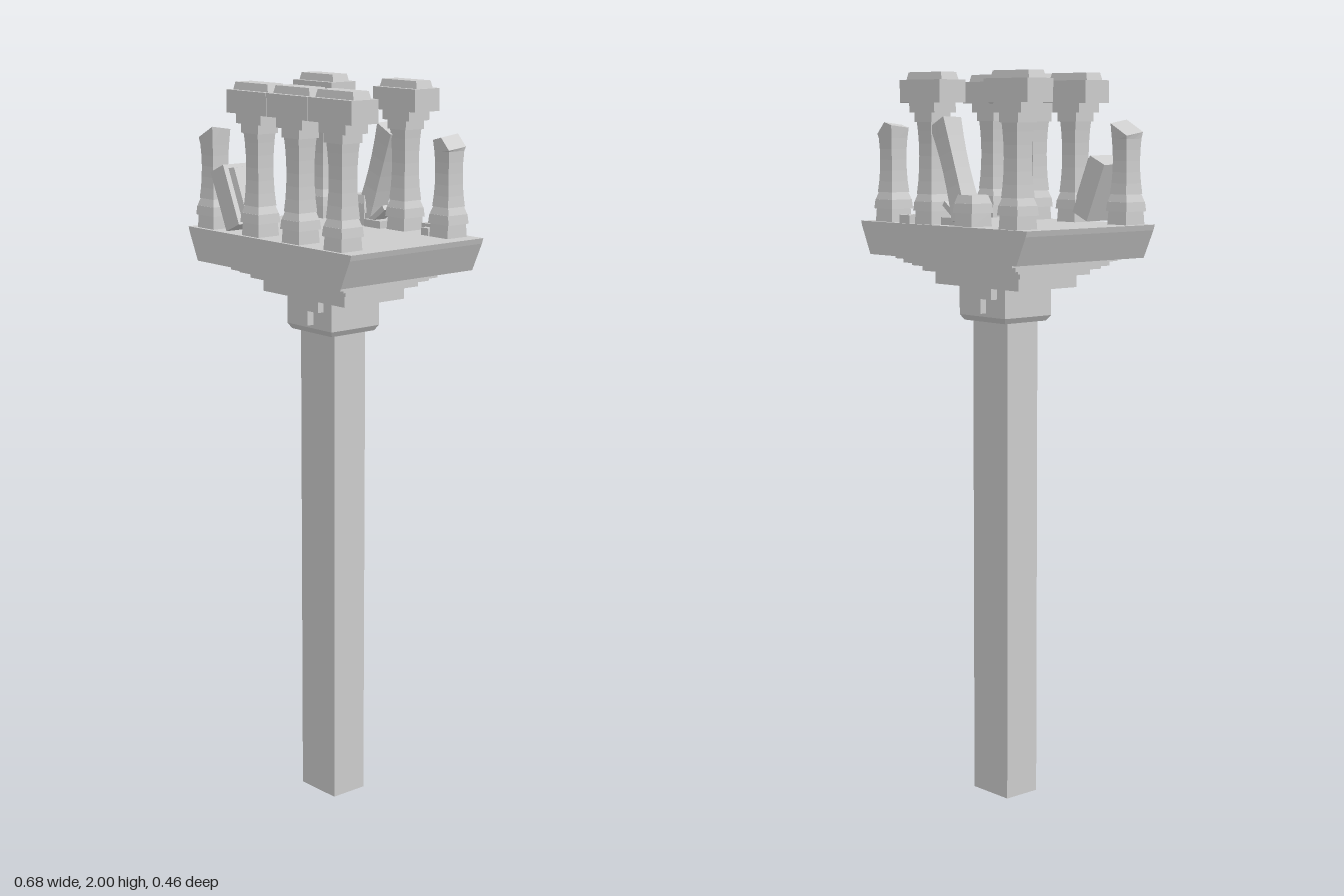
import * as THREE from 'three';

const stone = new THREE.MeshStandardMaterial({ color: 0xcccccc, flatShading: true });

function add(parent, name, geometry, x = 0, y = 0, z = 0) {
  const mesh = new THREE.Mesh(geometry, stone);
  mesh.name = name;
  mesh.position.set(x, y, z);
  parent.add(mesh);
  return mesh;
}

// Box standing on y = 0, with separate half sizes at the bottom and the top
function taper(bx, bz, tx, tz, h) {
  const g = new THREE.BoxGeometry(2, h, 2).translate(0, h / 2, 0);
  const p = g.attributes.position;
  for (let i = 0; i < p.count; i++) {
    const top = p.getY(i) > h / 2;
    p.setX(i, p.getX(i) * (top ? tx : bx));
    p.setZ(i, p.getZ(i) * (top ? tz : bz));
  }
  g.computeVertexNormals();
  return g;
}
const block = (hx, hz, h) => taper(hx, hz, hx, hz, h);

// Square shaft, slightly waisted; a broken one ends in a slanted, notched top
function shaft(h, slope = 0, notch = 0) {
  const g = new THREE.BoxGeometry(2, h, 2, 2, 6, 2).translate(0, h / 2, 0);
  const p = g.attributes.position;
  for (let i = 0; i < p.count; i++) {
    const t = p.getY(i) / h, u = p.getX(i), w = p.getZ(i);
    const half = 0.0255 + 0.005 * (2 * t - 1) ** 2;
    if (t > 0.99) p.setY(i, h + slope * u + notch * (Math.abs(u) - 0.5) + 0.3 * slope * w);
    p.setX(i, u * half);
    p.setZ(i, w * half);
  }
  g.computeVertexNormals();
  return g;
}

function columnBase(parent) {
  add(parent, 'plinth', taper(0.035, 0.035, 0.033, 0.033, 0.035));
  add(parent, 'baseStep', taper(0.039, 0.037, 0.036, 0.035, 0.025), 0, 0.035);
  add(parent, 'baseNeck', taper(0.036, 0.034, 0.028, 0.028, 0.022), 0, 0.06);
}

function lintel(parent) {
  const g = new THREE.Group();
  g.name = 'lintel';
  add(g, 'lintelBlock', block(0.083, 0.044, 0.06));
  add(g, 'lintelCap', taper(0.073, 0.029, 0.067, 0.026, 0.02), 0, 0.06);
  parent.add(g);
  return g;
}

function wholeColumn(parent) {
  columnBase(parent);
  add(parent, 'shaft', shaft(0.2), 0, 0.08);
  add(parent, 'lowerCapital', block(0.036, 0.033, 0.025), 0, 0.27);
  add(parent, 'upperCapital', block(0.052, 0.037, 0.026), 0, 0.294);
  lintel(parent).position.y = 0.32;
}

function brokenColumn(parent, slope, notch) {
  columnBase(parent);
  add(parent, 'brokenShaft', shaft(0.175, slope, notch), 0, 0.08);
}

export function createModel() {
  const model = new THREE.Group();
  model.name = 'ruinedColumnHall';

  // Post and collar
  add(model, 'post', block(0.07, 0.055, 1.34));
  add(model, 'collarBevel', taper(0.083, 0.075, 0.093, 0.084, 0.015), 0, 1.335);
  add(model, 'collar', block(0.093, 0.084, 0.08), 0, 1.35);
  for (const s of [1, -1]) {
    add(model, 'bracketStem', block(0.017, 0.0125, 0.045), 0, 1.36, s * 0.0915);
    add(model, 'bracketArm', block(0.06, 0.0125, 0.035), 0, 1.4, s * 0.0915);
  }

  // Stepped underside of the platform: half width, half depth, bottom, top
  const steps = [
    [0.17, 0.105, 1.43, 1.465], [0.2, 0.127, 1.465, 1.48],
    [0.218, 0.15, 1.48, 1.488], [0.23, 0.17, 1.488, 1.5], [0.24, 0.19, 1.5, 1.512],
  ];
  for (const [hx, hz, y0, y1] of steps) add(model, 'underStep', block(hx, hz, y1 - y0), 0, y0);

  // Platform with sloping ends
  add(model, 'platform', taper(0.3, 0.23, 0.335, 0.23, 0.075), 0, 1.51);
  add(model, 'platformEdge', taper(0.335, 0.23, 0.34, 0.23, 0.015), 0, 1.585);

  // Column rows
  const place = (name, x, z, build) => {
    const g = new THREE.Group();
    g.name = name;
    g.position.set(x, 1.6, z);
    build(g);
    model.add(g);
  };
  for (const x of [-0.08, 0.088, 0.256]) place('frontColumn', x, 0.185, wholeColumn);
  for (const x of [-0.256, 0.083]) place('backColumn', x, -0.185, wholeColumn);
  place('brokenFrontColumn', -0.277, 0.184, g => brokenColumn(g, 0.016, 0));
  place('brokenBackColumn', 0.258, -0.18, g => brokenColumn(g, -0.012, -0.02));

  // Toppled shaft leaning from its base against the next column
  place('toppledColumn', -0.075, -0.18, g => {
    columnBase(g);
    const lean = add(g, 'leaningShaft', shaft(0.265, -0.004, 0), 0.022, 0.02, 0);
    lean.rotation.z = -0.34;
  });

  // Fallen lintel standing on its end
  const fallen = lintel(model);
  fallen.name = 'fallenLintel';
  fallen.position.set(-0.204, 1.681, 0.185);
  fallen.rotation.z = -1.16;

  // Rubble
  add(model, 'rubbleSlab', block(0.033, 0.03, 0.02), 0.003, 1.6, -0.167);
  const chip = add(model, 'rubbleChip', block(0.034, 0.02, 0.015), 0.017, 1.63, -0.165);
  chip.rotation.z = 0.65;
  add(model, 'rubbleStone', block(0.014, 0.009, 0.02), 0.203, 1.6, -0.155);
  add(model, 'rubbleBrick', block(0.022, 0.013, 0.022), 0.158, 1.6, -0.21);

  return model;
}
